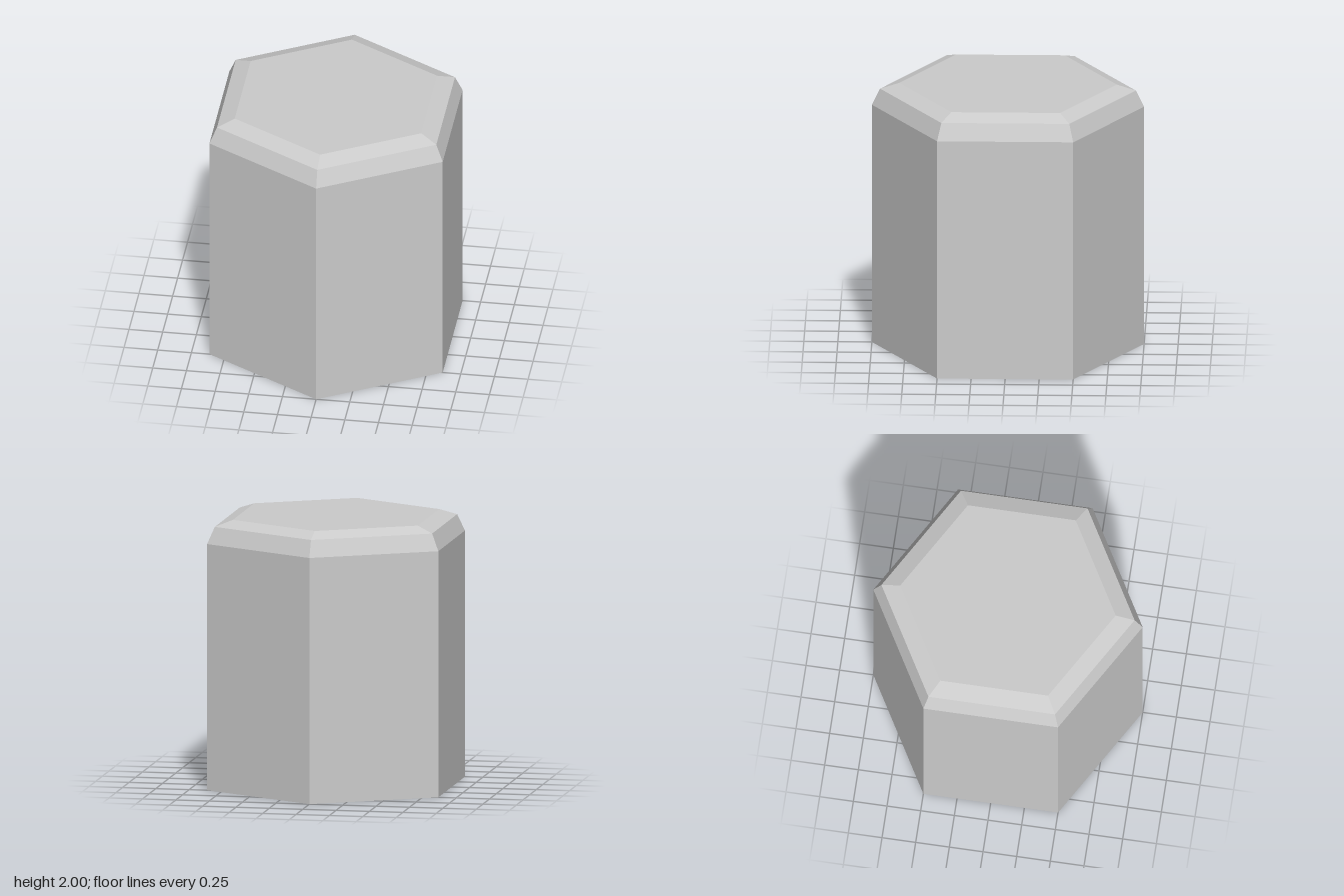
import * as THREE from 'three';

export function createModel() {
  const group = new THREE.Group();
  group.name = 'hexagonalColumn';

  // Profile from the centre of the base, up the wall, over two bevels to the centre of the top
  const profile = [
    [0, 0],
    [1, 0],
    [1, 1.83],
    [0.94, 1.955],
    [0.8, 2],
    [0, 2],
  ].map(([r, y]) => new THREE.Vector2(r, y));

  // Six sides, with corners pointing to the front and the back
  const geometry = new THREE.LatheGeometry(profile, 6).toNonIndexed();
  geometry.computeVertexNormals();

  const material = new THREE.MeshStandardMaterial({ color: 0xcccccc, flatShading: true });
  const column = new THREE.Mesh(geometry, material);
  column.name = 'bevelledColumn';
  group.add(column);

  return group;
}
